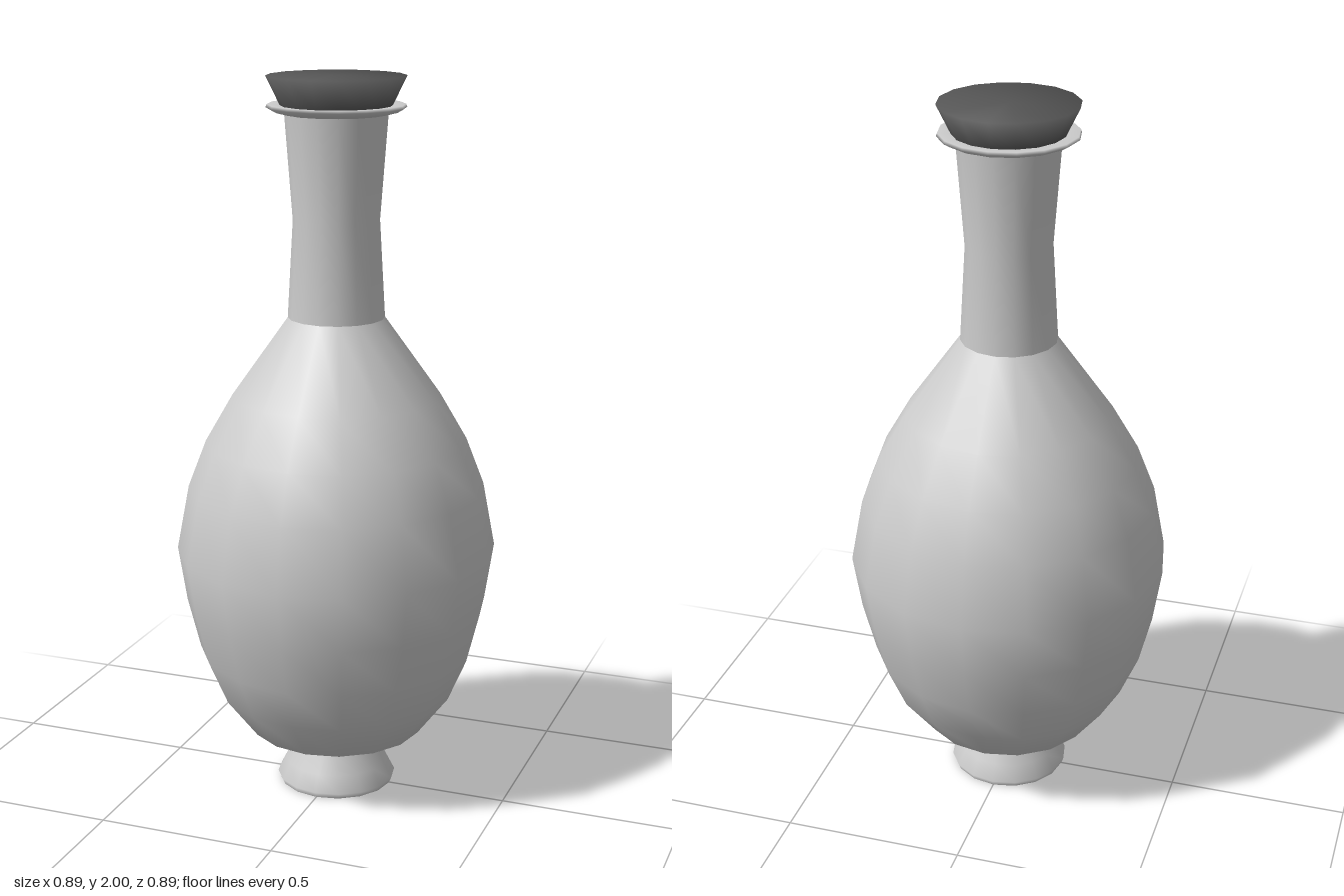
import * as THREE from 'three';

const SIDES = 16;
const grey = new THREE.MeshStandardMaterial({ color: 0xcccccc, side: THREE.DoubleSide });
const dark = new THREE.MeshStandardMaterial({ color: 0x555555, side: THREE.DoubleSide });

// Revolve a [radius, height] profile, listed from bottom to top
function turned(name, profile, material) {
  const points = profile.map(([r, y]) => new THREE.Vector2(r, y));
  const mesh = new THREE.Mesh(new THREE.LatheGeometry(points, SIDES), material);
  mesh.name = name;
  return mesh;
}

export function createModel() {
  const vase = new THREE.Group();
  vase.name = 'vase';

  // Flared foot and the flat disc it stands on
  vase.add(turned('foot', [[0.162, 0], [0.168, 0.015], [0.145, 0.06], [0.122, 0.11]], grey));
  const base = new THREE.Mesh(new THREE.CircleGeometry(0.162, SIDES), grey);
  base.name = 'base';
  base.rotation.x = Math.PI / 2;
  vase.add(base);

  // Egg-shaped body running into a slightly waisted neck
  vase.add(turned('body', [
    [0.122, 0.11], [0.245, 0.168], [0.333, 0.283], [0.385, 0.405], [0.42, 0.545],
    [0.444, 0.7], [0.41, 0.88], [0.36, 1.01], [0.285, 1.14], [0.132, 1.355],
  ], grey));
  vase.add(turned('neck', [[0.132, 1.355], [0.117, 1.62], [0.138, 1.9]], grey));

  // Thin collar around the top of the neck
  vase.add(turned('collar', [
    [0.138, 1.9], [0.17, 1.908], [0.187, 1.918], [0.184, 1.926], [0.14, 1.922],
  ], grey));

  // Dark flared stopper with a closed top
  vase.add(turned('stopper', [[0.148, 1.92], [0.187, 2], [0, 2]], dark));

  return vase;
}
